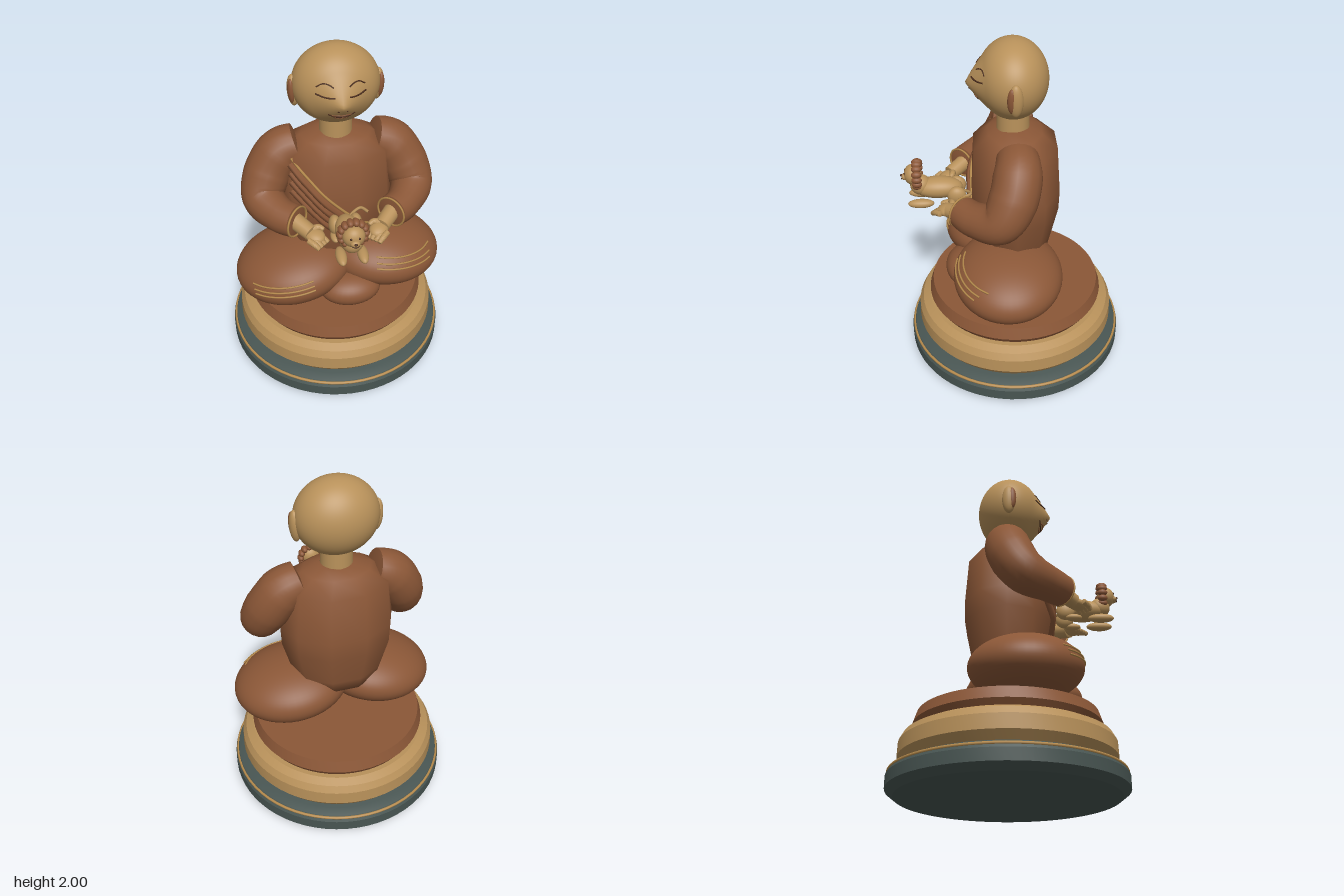
import * as THREE from 'three';
import { mergeVertices, toCreasedNormals } from 'three/addons/utils/BufferGeometryUtils.js';

const mat = (name, color) => Object.assign(new THREE.MeshStandardMaterial({ color }), { name });
const V = (p) => new THREE.Vector3(...p);

export function createModel() {
  const root = new THREE.Group();
  root.name = 'seatedFigure';
  const robe = mat('robe brown', 0x8b5737);
  const skin = mat('warm gold', 0xb8915a);
  const slate = mat('slate', 0x485552);
  const trim = mat('trim gold', 0xb58a4c);
  const dark = mat('dark brown', 0x4a2c1c);

  function add(parent, name, geo, material, pos = [0, 0, 0], rot = [0, 0, 0]) {
    const m = new THREE.Mesh(geo, material);
    m.name = name;
    m.position.set(...pos);
    m.rotation.set(...rot);
    parent.add(m);
    return m;
  }
  const ball = (sx, sy, sz, n = 32) => new THREE.SphereGeometry(1, n, Math.ceil(n * 0.7)).scale(sx, sy, sz);
  const lathe = (pts, seg, start = 0) =>
    new THREE.LatheGeometry(pts.map((p) => new THREE.Vector2(...p)), seg, start);
  const line = (pts, r, seg = 20) =>
    new THREE.TubeGeometry(new THREE.CatmullRomCurve3(pts.map(V)), seg, r, 6);

  // Tube whose radius follows a list of values; both ends are closed
  function limb(pts, radii, seg = 40) {
    const path = new THREE.CatmullRomCurve3(pts.map(V));
    const sides = 20, geo = new THREE.TubeGeometry(path, seg, 1, sides);
    const pos = geo.attributes.position, v = new THREE.Vector3();
    for (let i = 0; i <= seg; i++) {
      const c = path.getPointAt(i / seg);
      const f = (i / seg) * (radii.length - 1), k = Math.min(Math.floor(f), radii.length - 2);
      const r = i === 0 || i === seg ? 0 : THREE.MathUtils.lerp(radii[k], radii[k + 1], f - k);
      for (let j = 0; j <= sides; j++) {
        const id = i * (sides + 1) + j;
        v.fromBufferAttribute(pos, id).sub(c).multiplyScalar(r).add(c);
        pos.setXYZ(id, v.x, v.y, v.z);
      }
    }
    geo.deleteAttribute('uv');
    geo.deleteAttribute('normal');
    const merged = mergeVertices(geo, 1e-5);
    merged.computeVertexNormals();
    return toCreasedNormals(merged, 0.9);
  }

  // Round pedestal in three tiers
  const tier = (name, pts, m) => add(root, name, toCreasedNormals(lathe(pts, 64), 0.4), m);
  tier('baseTier', [[0, 0], [0.61, 0], [0.655, 0.035], [0.655, 0.1], [0.635, 0.135], [0.59, 0.152], [0, 0.152]], slate);
  tier('middleTier', [[0, 0.15], [0.56, 0.15], [0.6, 0.205], [0.597, 0.285], [0.575, 0.325], [0.53, 0.347], [0, 0.347]], skin);
  tier('upperTier', [[0, 0.345], [0.5, 0.345], [0.527, 0.388], [0.505, 0.455], [0, 0.457]], robe);
  add(root, 'baseRing', new THREE.TorusGeometry(0.641, 0.009, 8, 64).rotateX(Math.PI / 2), trim, [0, 0.123, 0]);

  // Folded legs, each with three curved trim lines on the knee
  const legSize = [0.35, 0.178, 0.315];
  for (const [side, s, c, tilt] of [
    ['right', -1, [-0.265, 0.64, 0.1], 0.16],
    ['left', 1, [0.27, 0.665, 0.055], -0.1],
  ]) {
    const leg = new THREE.Group();
    leg.name = side + 'Leg';
    leg.position.set(...c);
    leg.rotation.z = tilt;
    root.add(leg);
    add(leg, side + 'Thigh', ball(...legSize, 48), robe);
    for (let k = 0; k < 3; k++) {
      const pts = [];
      for (let i = 0; i <= 8; i++) {
        const x = s * (-0.09 + i * 0.0425), y = (s < 0 ? 0.02 : 0.055) + k * 0.025;
        const d = 1 - (x / legSize[0]) ** 2 - (y / legSize[1]) ** 2;
        pts.push([x, y, legSize[2] * Math.sqrt(Math.max(d, 0.02)) + 0.002]);
      }
      add(leg, 'kneeTrim', line(pts, 0.0055), trim);
    }
  }
  add(root, 'coveredFoot', ball(0.18, 0.095, 0.13), robe, [0.04, 0.568, 0.29]);

  // Torso with ten soft panels
  const profile = [[0, 0.7], [0.25, 0.72], [0.275, 0.8], [0.33, 1.0], [0.335, 1.12], [0.31, 1.4], [0.2, 1.47], [0.1, 1.5], [0, 1.5]];
  add(root, 'torso', lathe(profile, 10, Math.PI / 10).scale(1, 1, 0.78), robe);
  function chestZ(x, y) {
    let i = 1;
    while (i < profile.length - 2 && profile[i + 1][1] < y) i++;
    const [a, b] = [profile[i], profile[i + 1]];
    const r = THREE.MathUtils.lerp(a[0], b[0], (y - a[1]) / (b[1] - a[1]));
    let z = 1;
    for (let k = -2; k <= 2; k++) {
      const t = (k * Math.PI) / 5;
      z = Math.min(z, (Math.cos(Math.PI / 10) - (Math.sin(t) * x) / r) / Math.cos(t));
    }
    return z * r * 0.78;
  }

  // Diagonal sash folds and their gold edge
  function sash(name, from, to, r, m) {
    const pts = [];
    for (let i = 0; i <= 10; i++) {
      const t = i / 10, x = THREE.MathUtils.lerp(from[0], to[0], t);
      const y = THREE.MathUtils.lerp(from[1], to[1], t) - 0.025 * Math.sin(Math.PI * t);
      pts.push([x, y, chestZ(x, y) + r * 0.4]);
    }
    add(root, name, line(pts, r, 30), m);
  }
  sash('sashEdge', [-0.26, 1.4], [0.2, 0.93], 0.008, trim);
  for (let k = 0; k < 4; k++)
    sash('sashFold', [-0.265, 1.365 - k * 0.05], [0.2 - k * 0.012, 0.9 - k * 0.028], 0.022, robe);

  // Sleeves, hands and fingers
  for (const [side, s] of [['right', -1], ['left', 1]]) {
    const mx = (pts) => pts.map(([x, y, z]) => [s * x, y, z]);
    add(root, side + 'Sleeve', limb(
      mx([[0.2, 1.42, 0], [0.3, 1.38, 0], [0.385, 1.26, 0.03], [0.42, 1.145, 0.1], [0.345, 1.11, 0.23], [0.255, 1.11, 0.31]]),
      [0.112, 0.132, 0.133, 0.12, 0.1, 0.09]), robe);
    const cuff = add(root, side + 'CuffTrim', new THREE.TorusGeometry(0.087, 0.006, 6, 32), trim, [s * 0.259, 1.11, 0.307]);
    cuff.lookAt(s * 0.16, 1.11, 0.395);
    add(root, side + 'Wrist', limb(mx([[0.28, 1.11, 0.28], [0.23, 1.09, 0.335], [0.19, 1.075, 0.38]]), [0.048, 0.046, 0.043], 16), skin);
    add(root, side + 'Palm', ball(0.05, 0.03, 0.06, 20), skin, [s * 0.175, 1.07, 0.39], [0.2, -s * 0.75, 0]);
    for (let k = 0; k < 4; k++) {
      const x = 0.105 + k * 0.018, z = 0.405 + k * 0.017;
      add(root, side + 'Finger', limb(
        mx([[x + 0.06, 1.07, z - 0.035], [x + 0.025, 1.058, z], [x, 1.036, z + 0.018]]), [0.017, 0.017, 0.013], 12), skin);
    }
    add(root, side + 'Thumb', limb(mx([[0.19, 1.09, 0.36], [0.15, 1.1, 0.36], [0.12, 1.09, 0.375]]), [0.02, 0.018, 0.012], 12), skin);
  }

  // Head: an ellipsoid drawn out to a soft point at the nose
  add(root, 'neck', new THREE.CylinderGeometry(0.088, 0.092, 0.14, 32), skin, [0, 1.54, 0.01]);
  const H = [0.235, 0.218, 0.192];
  const nose = (x, y) => 0.065 * Math.max(0, 1 - Math.hypot(x, y + 0.02) / 0.15) ** 1.5;
  const headGeo = new THREE.SphereGeometry(1, 64, 48).scale(...H);
  const hp = headGeo.attributes.position;
  for (let i = 0; i < hp.count; i++)
    if (hp.getZ(i) > 0) hp.setZ(i, hp.getZ(i) + nose(hp.getX(i), hp.getY(i)));
  headGeo.computeVertexNormals();
  const head = new THREE.Group();
  head.name = 'head';
  head.position.set(0, 1.782, 0.01);
  root.add(head);
  add(head, 'skull', headGeo, skin);
  const faceLine = (name, pts, r, m) => add(head, name, line(pts.map(([x, y]) =>
    [x, y, H[2] * Math.sqrt(1 - (x / H[0]) ** 2 - (y / H[1]) ** 2) + nose(x, y) + 0.001]), r), m);
  for (const s of [-1, 1]) {
    faceLine('brow', [[s * 0.04, 0.07], [s * 0.06, 0.081], [s * 0.09, 0.085], [s * 0.125, 0.065]], 0.0035, dark);
    faceLine('closedEye', [[s * 0.035, 0.027], [s * 0.06, 0.023], [s * 0.09, 0.022], [s * 0.13, 0.03]], 0.0045, dark);
    faceLine('nostril', [[s * 0.017, -0.043], [s * 0.022, -0.047], [s * 0.027, -0.043]], 0.003, dark);
    add(head, 'ear', ball(0.032, 0.092, 0.04, 24), skin, [s * 0.225, -0.03, -0.002], [0, 0, s * -0.06]);
    add(head, 'innerEar', ball(0.02, 0.07, 0.025, 20), robe, [s * 0.236, -0.025, 0.018], [0, 0, s * -0.06]);
  }
  faceLine('smile', [[-0.07, -0.08], [-0.035, -0.097], [0, -0.1], [0.035, -0.097], [0.07, -0.08]], 0.004, dark);
  faceLine('upperLip', [[-0.05, -0.088], [-0.015, -0.083], [0, -0.087], [0.015, -0.083], [0.05, -0.088]], 0.004, robe);
  faceLine('lowerLip', [[-0.035, -0.107], [0, -0.113], [0.035, -0.107]], 0.004, robe);

  // Small lion held between the hands
  const lion = new THREE.Group();
  lion.name = 'lion';
  root.add(lion);
  add(lion, 'lionBody', ball(0.072, 0.062, 0.14), skin, [0, 1.11, 0.44]);
  add(lion, 'lionChest', ball(0.058, 0.06, 0.06, 24), skin, [0, 1.13, 0.54]);
  add(lion, 'lionHead', ball(0.06, 0.06, 0.05, 24), skin, [0, 1.2, 0.58]);
  add(lion, 'lionMuzzle', ball(0.026, 0.02, 0.02, 16), skin, [0, 1.187, 0.625]);
  add(lion, 'lionNose', ball(0.009, 0.007, 0.007, 12), dark, [0, 1.196, 0.645]);
  for (let k = 0; k < 14; k++) {
    const a = (k / 14) * Math.PI * 2;
    add(lion, 'maneCurl', ball(0.02, 0.02, 0.03, 14), robe, [0.068 * Math.cos(a), 1.2 + 0.072 * Math.sin(a), 0.555]);
  }
  for (const s of [-1, 1]) {
    add(lion, 'lionEye', ball(0.006, 0.007, 0.005, 10), dark, [s * 0.022, 1.217, 0.624]);
    add(lion, 'frontPaw', ball(0.03, 0.026, 0.075, 20), skin, [s * 0.058, 1.037, 0.54]);
    add(lion, 'haunch', ball(0.035, 0.055, 0.055, 20), skin, [s * 0.058, 1.085, 0.335]);
    add(lion, 'hindPaw', ball(0.025, 0.02, 0.05, 16), skin, [s * 0.065, 1.04, 0.38]);
  }
  add(lion, 'lionSmile', line([[-0.02, 1.181, 0.637], [0, 1.175, 0.644], [0.02, 1.181, 0.637]], 0.003), dark);
  add(lion, 'lionTail', line([[0.02, 1.1, 0.31], [0.06, 1.11, 0.27], [0.1, 1.12, 0.255], [0.135, 1.12, 0.3]], 0.009), skin);

  return root;
}
